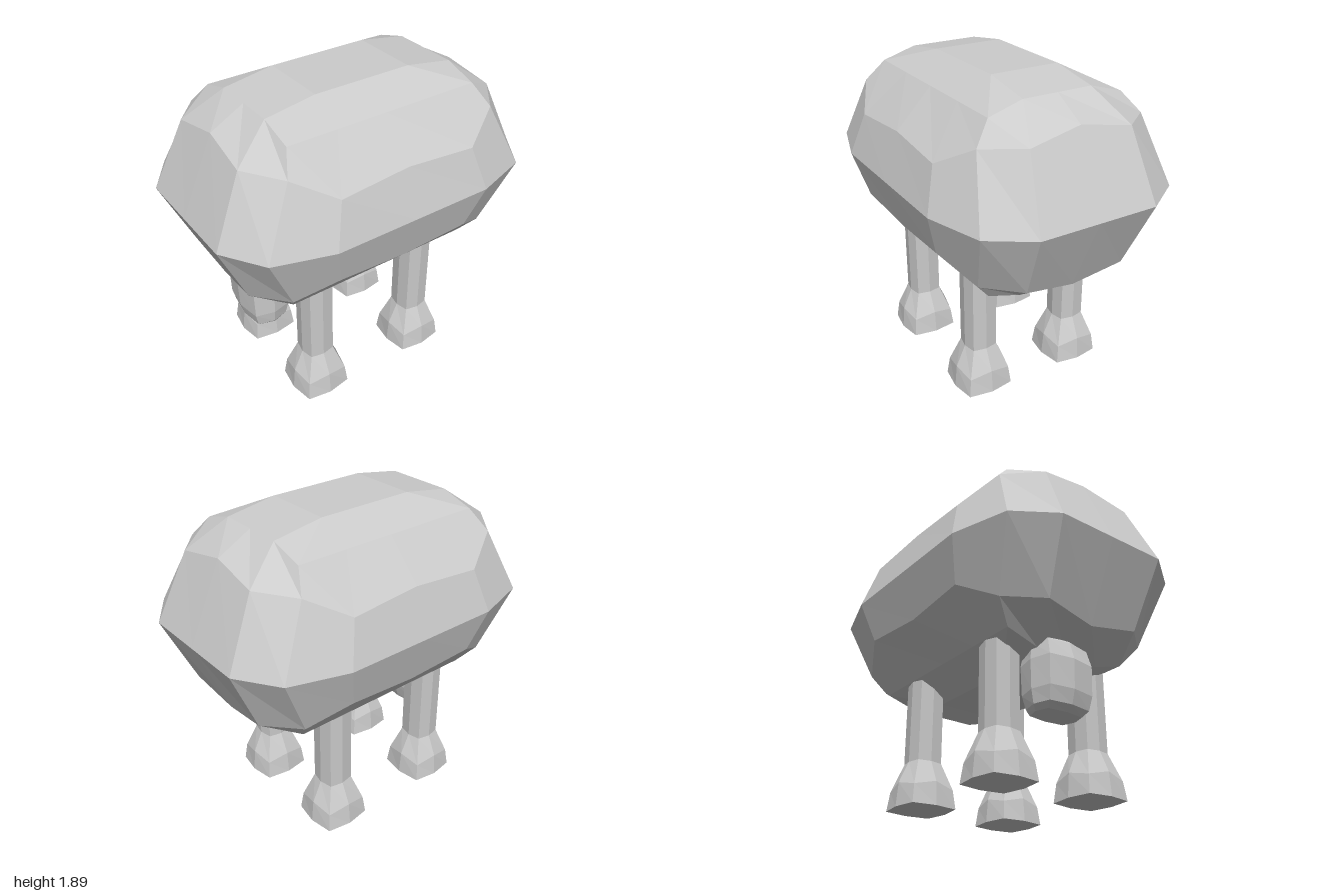
import * as THREE from 'three';

const material = new THREE.MeshStandardMaterial({ color: 0xcccccc, flatShading: true, side: THREE.DoubleSide });

// Skin a stack of rings (bottom to top, each ordered from +x toward +z) and cap both ends.
function loft(name, rings) {
  const n = rings[0].length;
  const index = [];
  for (let i = 0; i < rings.length - 1; i++) {
    for (let j = 0; j < n; j++) {
      const a = i * n + j, b = i * n + (j + 1) % n;
      index.push(a, a + n, b + n, a, b + n, b);
    }
  }
  const top = (rings.length - 1) * n;
  for (let j = 1; j < n - 1; j++) {
    index.push(0, j, j + 1, top, top + j + 1, top + j);
  }
  const geometry = new THREE.BufferGeometry();
  geometry.setAttribute('position', new THREE.Float32BufferAttribute(rings.flat(2), 3));
  geometry.setIndex(index);
  geometry.computeVertexNormals();
  const mesh = new THREE.Mesh(geometry, material);
  mesh.name = name;
  return mesh;
}

// Complete a quarter ring (+x to +z) by mirroring it in x and then in z.
function mirrorQuarter(q) {
  const half = [...q, ...q.slice(0, -1).reverse().map(([x, y, z]) => [-x, y, z])];
  return [...half, ...half.slice(1, -1).reverse().map(([x, y, z]) => [x, y, -z])];
}

// Eight-sided rounded square: side midpoints at 1, corners at the given ratio.
function roundedSquare(cx, cz, y, hx, hz, ratio, cornerY = y) {
  return Array.from({ length: 8 }, (_, i) => {
    const a = i * Math.PI / 4;
    const corner = i % 2 === 1;
    const k = corner ? ratio * Math.SQRT2 : 1;
    return [cx + hx * k * Math.cos(a), corner ? cornerY : y, cz + hz * k * Math.sin(a)];
  });
}

// Faceted body: quarter rings from the widest level to the crown
function createBody() {
  const middle = 1.275;
  const quarters = [
    [[1, 1.275, 0], [1, 1.275, 0.36], [0.84, 1.275, 0.6], [0.5, 1.275, 0.705], [0, 1.275, 0.705]],
    [[0.8, 1.73, 0], [0.82, 1.675, 0.31], [0.66, 1.66, 0.51], [0.43, 1.53, 0.63], [0, 1.56, 0.62]],
    [[0.6, 1.84, 0], [0.6, 1.84, 0.21], [0.6, 1.78, 0.41], [0.3, 1.78, 0.41], [0, 1.78, 0.41]],
    [[0.3, 1.888, 0], [0.3, 1.888, 0.21], [0.3, 1.888, 0.21], [0.3, 1.888, 0.21], [0, 1.888, 0.21]],
  ];
  const upper = quarters.map(mirrorQuarter);
  const lower = upper.slice(1).reverse()
    .map(ring => ring.map(([x, y, z]) => [x, 2 * middle - y, z]));
  return loft('body', [...lower, ...upper]);
}

// Straight leg flaring into a wide foot
function createLeg(name, x, z) {
  const leg = loft(name, [
    roundedSquare(0, 0, 0, 0.165, 0.165, 0.86),
    roundedSquare(0, 0, 0.14, 0.152, 0.152, 0.85, 0.11),
    roundedSquare(0, 0, 0.27, 0.093, 0.093, 0.83),
    roundedSquare(0, 0, 0.84, 0.093, 0.093, 0.83),
  ]);
  leg.position.set(x, 0, z);
  return leg;
}

// Small rounded head hanging under one end
function createHead() {
  const levels = [
    [0.37, -0.55, 0.09, 0.14],
    [0.40, -0.565, 0.115, 0.165],
    [0.48, -0.565, 0.138, 0.178],
    [0.65, -0.565, 0.145, 0.18],
    [0.75, -0.56, 0.12, 0.165],
    [0.84, -0.55, 0.08, 0.12],
  ];
  return loft('head', levels.map(([y, x, hx, hz]) => roundedSquare(x, -0.05, y, hx, hz, 0.83)));
}

export function createModel() {
  const model = new THREE.Group();
  model.name = 'animal';
  model.add(createBody(), createHead());
  for (const [side, x] of [['right', -0.405], ['left', 0.322]]) {
    for (const [end, z] of [['Front', 0.315], ['Back', -0.315]]) {
      model.add(createLeg(`${side}${end}Leg`, x, z));
    }
  }
  return model;
}
